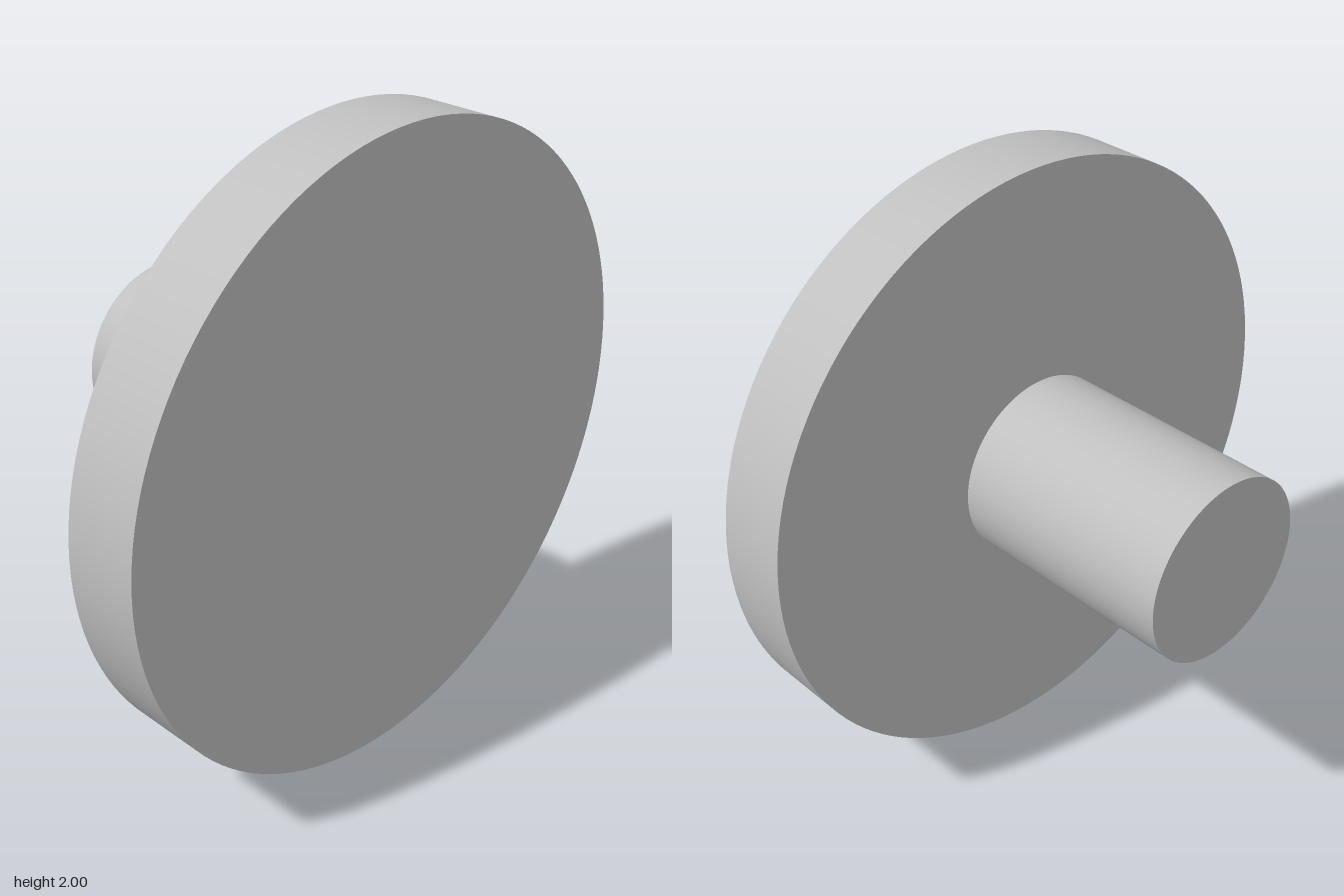
import * as THREE from 'three';

export function createModel() {
  const group = new THREE.Group();
  const grey = new THREE.MeshStandardMaterial({ color: 0xc0c0c0 });
  grey.name = 'light grey';

  // Solid cylinder lying along x between two ends, at mid height
  const addRound = (name, radius, x0, x1) => {
    const geometry = new THREE.CylinderGeometry(radius, radius, x1 - x0, 128);
    geometry.rotateZ(-Math.PI / 2);
    const mesh = new THREE.Mesh(geometry, grey);
    mesh.position.set((x0 + x1) / 2, 1, 0);
    mesh.name = name;
    group.add(mesh);
  };

  addRound('disc', 1, 0.265, 0.515); // wide flat head
  addRound('shaft', 0.3, -0.515, 0.265); // stub behind the head

  return group;
}
